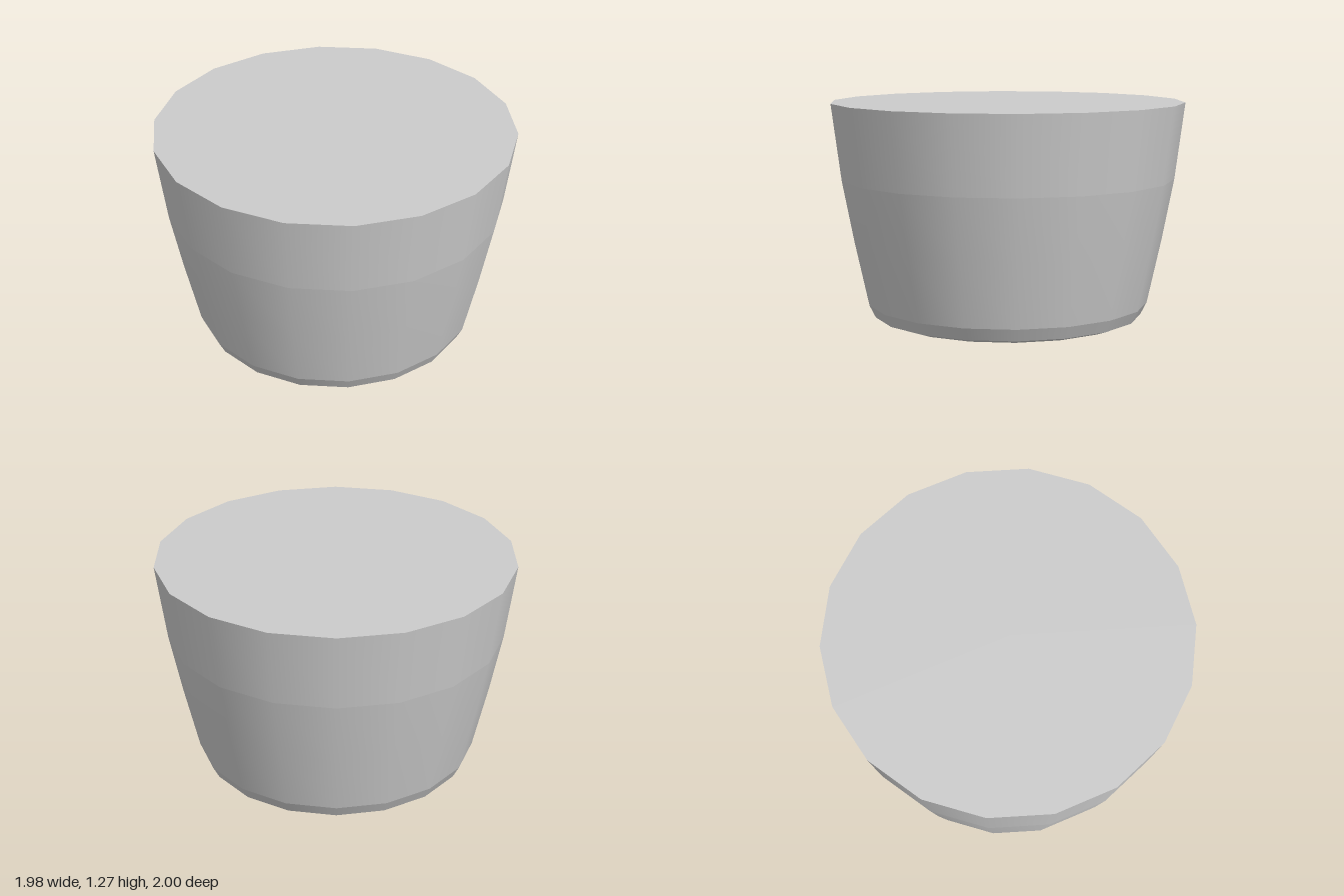
import * as THREE from 'three';

const SIDES = 18;
const TURN = THREE.MathUtils.degToRad(-1.7);

export function createModel() {
  const group = new THREE.Group();
  group.name = 'taperedCup';
  const material = new THREE.MeshStandardMaterial({ color: 0xcccccc });

  // Each band is turned from its own [radius, height] profile, so edges between bands stay crisp
  const addBand = (name, profile) => {
    const points = profile.map(([r, y]) => new THREE.Vector2(r, y));
    const mesh = new THREE.Mesh(new THREE.LatheGeometry(points, SIDES, TURN), material);
    mesh.name = name;
    group.add(mesh);
  };

  // Shallow rounded underside
  addBand('underside', [[0, 0], [0.36, 0.005], [0.57, 0.015], [0.7, 0.037], [0.765, 0.06]]);
  // Narrow bevel above the base edge
  addBand('baseBevel', [[0.765, 0.06], [0.8, 0.13]]);
  // Flaring wall
  addBand('lowerWall', [[0.8, 0.13], [0.88, 0.5], [0.945, 0.84]]);
  addBand('upperWall', [[0.945, 0.84], [1, 1.27]]);
  // Flat closed top
  addBand('topFace', [[1, 1.27], [0, 1.27]]);

  return group;
}
